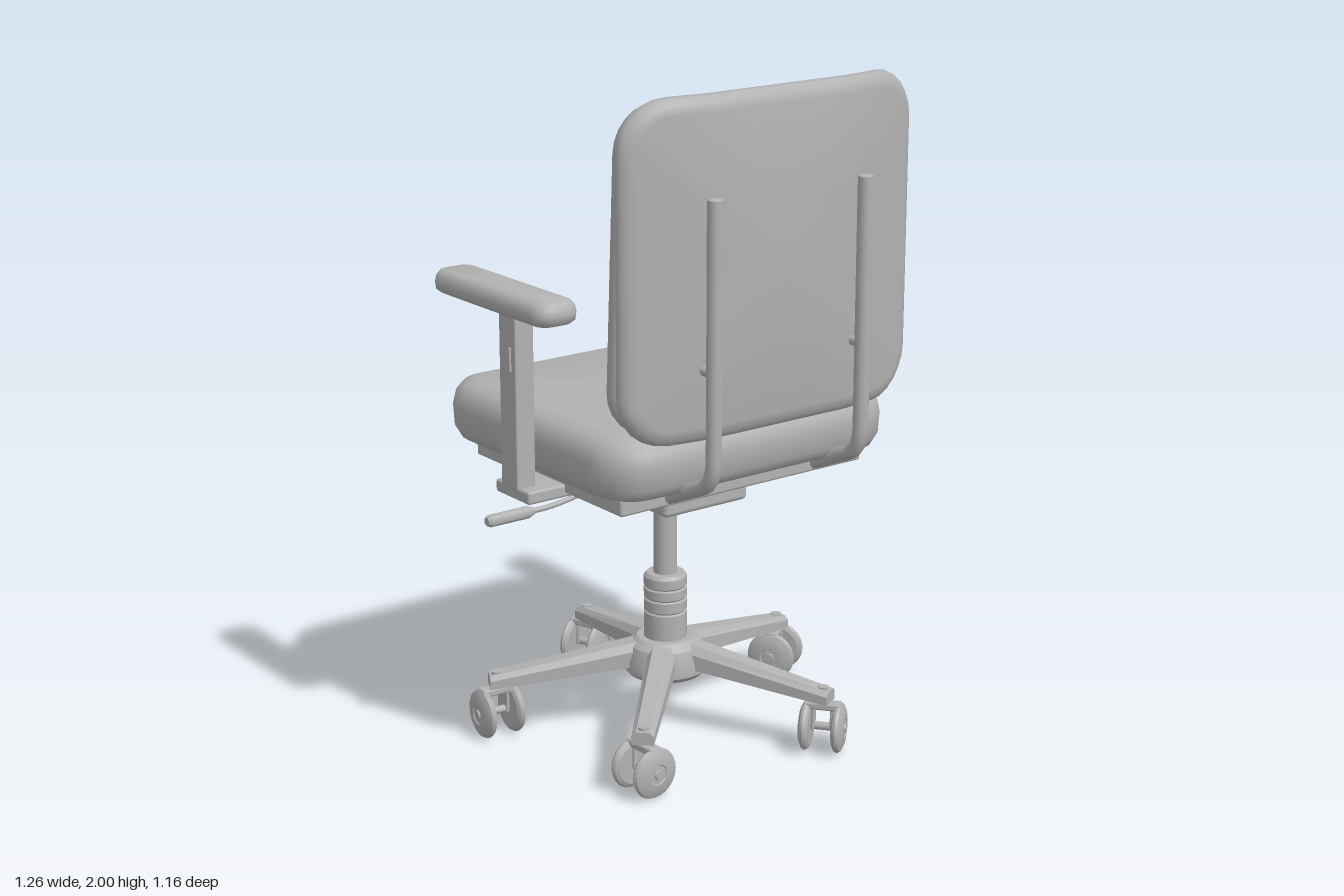
import * as THREE from 'three';
import { toCreasedNormals } from 'three/addons/utils/BufferGeometryUtils.js';
import { RoundedBoxGeometry } from 'three/addons/geometries/RoundedBoxGeometry.js';

const grey = new THREE.MeshStandardMaterial({ color: 0xb2b2b2 });
grey.name = 'plain grey';

function add(parent, name, geometry, x = 0, y = 0, z = 0) {
  const mesh = new THREE.Mesh(geometry, grey);
  mesh.name = name;
  mesh.position.set(x, y, z);
  parent.add(mesh);
  return mesh;
}

// Box given by its lower and upper limits, with softened edges
function block(parent, name, [x0, x1], [y0, y1], [z0, z1], r = 0.008) {
  const g = new RoundedBoxGeometry(x1 - x0, y1 - y0, z1 - z0, 2, r);
  return add(parent, name, g, (x0 + x1) / 2, (y0 + y1) / 2, (z0 + z1) / 2);
}

// Rounded rectangle as a counter-clockwise loop of points
function outline(hw, hh, r) {
  const pts = [];
  const signs = [[1, 1], [-1, 1], [-1, -1], [1, -1]];
  signs.forEach(([sx, sy], q) => {
    for (let i = 0; i <= 6; i++) {
      const a = (q + i / 6) * Math.PI / 2;
      pts.push([sx * (hw - r) + r * Math.cos(a), sy * (hh - r) + r * Math.sin(a)]);
    }
    // points along the straight side up to the next corner
    const [nx, ny] = signs[(q + 1) % 4], b = (q + 1) * Math.PI / 2;
    for (let i = 1; i < 6; i++) {
      const t = i / 6;
      pts.push([(sx + (nx - sx) * t) * (hw - r) + r * Math.cos(b), (sy + (ny - sy) * t) * (hh - r) + r * Math.sin(b)]);
    }
  });
  return pts;
}

// Cushion: outline loops stacked along z by [inset, z], closed by fans; bend(x) shifts z
function cushion(w, h, r, profile, zLow, zHigh, bend = () => 0) {
  const pos = [], index = [];
  let n = 0;
  for (const [inset, z] of profile) {
    const loop = outline(w / 2 - inset, h / 2 - inset, Math.max(r - inset, 0.01));
    n = loop.length;
    for (const [x, y] of loop) pos.push(x, y, z + bend(x));
  }
  const low = n * profile.length, high = low + 1, top = low - n;
  pos.push(0, 0, zLow, 0, 0, zHigh);
  for (let i = 0; i < n; i++) {
    const k = (i + 1) % n;
    for (let j = 0; j < profile.length - 1; j++) {
      const a = j * n + i, b = j * n + k;
      index.push(a, b, b + n, a, b + n, a + n);
    }
    index.push(low, k, i, high, top + i, top + k);
  }
  const g = new THREE.BufferGeometry();
  g.setAttribute('position', new THREE.Float32BufferAttribute(pos, 3));
  g.setIndex(index);
  return toCreasedNormals(g, 0.9);
}

function lathe(points, segments = 28) {
  const g = new THREE.LatheGeometry(points.map(([r, y]) => new THREE.Vector2(r, y)), segments);
  return toCreasedNormals(g, 0.5);
}

// Tapered leg running along +z, with chamfered cross-section
function legGeometry() {
  const g = new THREE.BoxGeometry(1, 1, 1);
  const s = new THREE.Shape([[-1, -1], [1, -1], [1, 0.35], [0.6, 1], [-0.6, 1], [-1, 0.35]].map(p => new THREE.Vector2(...p)));
  g.dispose();
  const leg = new THREE.ExtrudeGeometry(s, { depth: 1, bevelEnabled: false });
  const p = leg.attributes.position;
  for (let i = 0; i < p.count; i++) {
    const t = p.getZ(i);
    p.setXYZ(i, p.getX(i) * (0.044 - 0.012 * t), 0.243 - 0.066 * t + p.getY(i) * (0.037 - 0.018 * t), 0.06 + 0.47 * t);
  }
  leg.computeVertexNormals();
  return leg;
}

// Twin-wheel caster with its axle along x
function caster() {
  const c = new THREE.Group();
  c.name = 'caster';
  add(c, 'casterStem', new THREE.CylinderGeometry(0.016, 0.016, 0.07, 16), 0, 0.17, 0);
  block(c, 'casterBridge', [-0.055, 0.055], [0.135, 0.157], [-0.02, 0.02], 0.006);
  add(c, 'axle', new THREE.CylinderGeometry(0.012, 0.012, 0.1, 12), 0, 0.08, 0).rotation.z = Math.PI / 2;
  const wheel = lathe([[0, -0.014], [0.06, -0.014], [0.071, -0.008], [0.075, 0], [0.071, 0.008],
    [0.055, 0.016], [0.03, 0.019], [0.028, 0.016], [0.014, 0.017], [0.012, 0.022], [0, 0.022]]);
  for (const s of [-1, 1]) {
    add(c, 'wheel', wheel, s * 0.048, 0.08, 0).rotation.z = -s * Math.PI / 2;
    block(c, 'forkArm', [s * 0.028 - 0.005, s * 0.028 + 0.005], [0.07, 0.145], [-0.016, 0.016], 0.004);
  }
  return c;
}

export function createModel() {
  const chair = new THREE.Group();
  chair.name = 'officeChair';

  // Seat cushion and the plates below it
  const seat = add(chair, 'seatCushion', cushion(1, 0.915, 0.14, [
    [0.06, 0.885], [0.022, 0.9], [0.004, 0.93], [0, 0.995], [0.008, 1.03], [0.03, 1.057], [0.07, 1.07],
  ], 0.885, 1.074));
  seat.rotation.x = -Math.PI / 2;
  block(chair, 'seatPlate', [-0.43, 0.43], [0.84, 0.89], [-0.345, 0.37]);
  block(chair, 'mechanismBox', [-0.15, 0.15], [0.73, 0.842], [-0.225, 0.2], 0.015);

  // Backrest: outer shell with curved sides, and a leaning pad
  const curl = x => -0.045 * Math.min(1, Math.max(0, (Math.abs(x) - 0.28) / 0.2));
  add(chair, 'backShell', cushion(1, 0.94, 0.14, [
    [0.04, 0.47], [0.01, 0.478], [0, 0.495], [0.004, 0.512], [0.02, 0.526], [0.045, 0.531],
  ], 0.47, 0.535, curl), 0, 1.53, 0);
  const pad = add(chair, 'backPad', cushion(0.98, 0.91, 0.13, [
    [0.04, -0.04], [0.008, -0.028], [0, -0.005], [0.005, 0.015], [0.025, 0.033], [0.06, 0.04],
  ], -0.04, 0.035, x => 0.05 * Math.abs(x)), 0, 1.53, 0.438);
  pad.rotation.set(0.05, Math.PI, 0);

  for (const s of [-1, 1]) {
    // Bent rod holding the backrest
    const path = new THREE.CurvePath();
    const v = (y, z) => new THREE.Vector3(s * 0.26, y, z);
    path.add(new THREE.LineCurve3(v(1.73, 0.559), v(1.02, 0.559)));
    path.add(new THREE.QuadraticBezierCurve3(v(1.02, 0.559), v(0.955, 0.559), v(0.935, 0.52)));
    path.add(new THREE.LineCurve3(v(0.935, 0.52), v(0.862, 0.35)));
    add(chair, 'backRod', new THREE.TubeGeometry(path, 40, 0.022, 16));
    add(chair, 'rodCap', new THREE.SphereGeometry(0.022, 16, 8).scale(1, 0.25, 1), s * 0.26, 1.73, 0.559);
    add(chair, 'rodBolt', new THREE.CylinderGeometry(0.014, 0.014, 0.05, 12), s * 0.26, 1.26, 0.535).rotation.x = Math.PI / 2;

    // Armrest: bracket, post, adjuster and pad
    const x = (a, b) => (s > 0 ? [a, b] : [-b, -a]);
    block(chair, 'armBracket', x(0.31, 0.553), [0.828, 0.866], [-0.06, 0.105]);
    block(chair, 'armPost', x(0.5, 0.562), [0.86, 1.39], [-0.016, 0.064], 0.005);
    block(chair, 'armAdjuster', x(0.556, 0.568), [1.2, 1.27], [0.036, 0.044], 0.003);
    const armPad = add(chair, 'armPad', cushion(0.14, 0.555, 0.05, [
      [0.016, 1.38], [0.003, 1.39], [0, 1.41], [0.004, 1.428], [0.014, 1.441], [0.028, 1.446],
    ], 1.38, 1.446), s * 0.56, 0, 0.012);
    armPad.rotation.x = -Math.PI / 2;
  }

  // Height lever
  const rod = new THREE.CatmullRomCurve3([[-0.13, 0.787], [-0.25, 0.767], [-0.37, 0.749], [-0.45, 0.747]]
    .map(([x, y]) => new THREE.Vector3(x, y, -0.05)));
  add(chair, 'leverRod', new THREE.TubeGeometry(rod, 20, 0.008, 10));
  const grip = lathe([[0, -0.08], [0.012, -0.08], [0.018, -0.07], [0.018, 0.06], [0.01, 0.08], [0, 0.08]], 16);
  add(chair, 'leverGrip', grip, -0.512, 0.747, -0.05).rotation.z = -Math.PI / 2;

  // Gas column, ribbed sleeve and hub
  add(chair, 'column', new THREE.CylinderGeometry(0.035, 0.035, 0.3, 24), 0, 0.6, 0);
  add(chair, 'sleeve', lathe([[0.064, 0.22], [0.064, 0.36], [0.059, 0.364], [0.064, 0.369], [0.064, 0.4],
    [0.059, 0.404], [0.064, 0.409], [0.064, 0.435], [0.059, 0.439], [0.064, 0.444], [0.064, 0.472], [0.056, 0.482], [0, 0.482]]));
  add(chair, 'hub', lathe([[0, 0.17], [0.112, 0.17], [0.125, 0.185], [0.125, 0.215], [0.11, 0.262], [0.085, 0.283], [0, 0.283]], 32));

  // Five legs; each caster is swivelled its own way
  const leg = legGeometry();
  const axles = [[0.37, 0.93], [0.83, -0.55], [0.62, 0.78], [0.05, 1], [0.99, 0.08]];
  axles.forEach(([ax, az], i) => {
    const a = (8 + 72 * i) * Math.PI / 180, dx = Math.sin(a), dz = -Math.cos(a);
    add(chair, 'leg', leg).rotation.y = Math.atan2(dx, dz);
    const c = caster();
    c.position.set(dx * 0.507, 0, dz * 0.507);
    c.rotation.y = Math.atan2(-az, ax);
    chair.add(c);
  });

  return chair;
}
